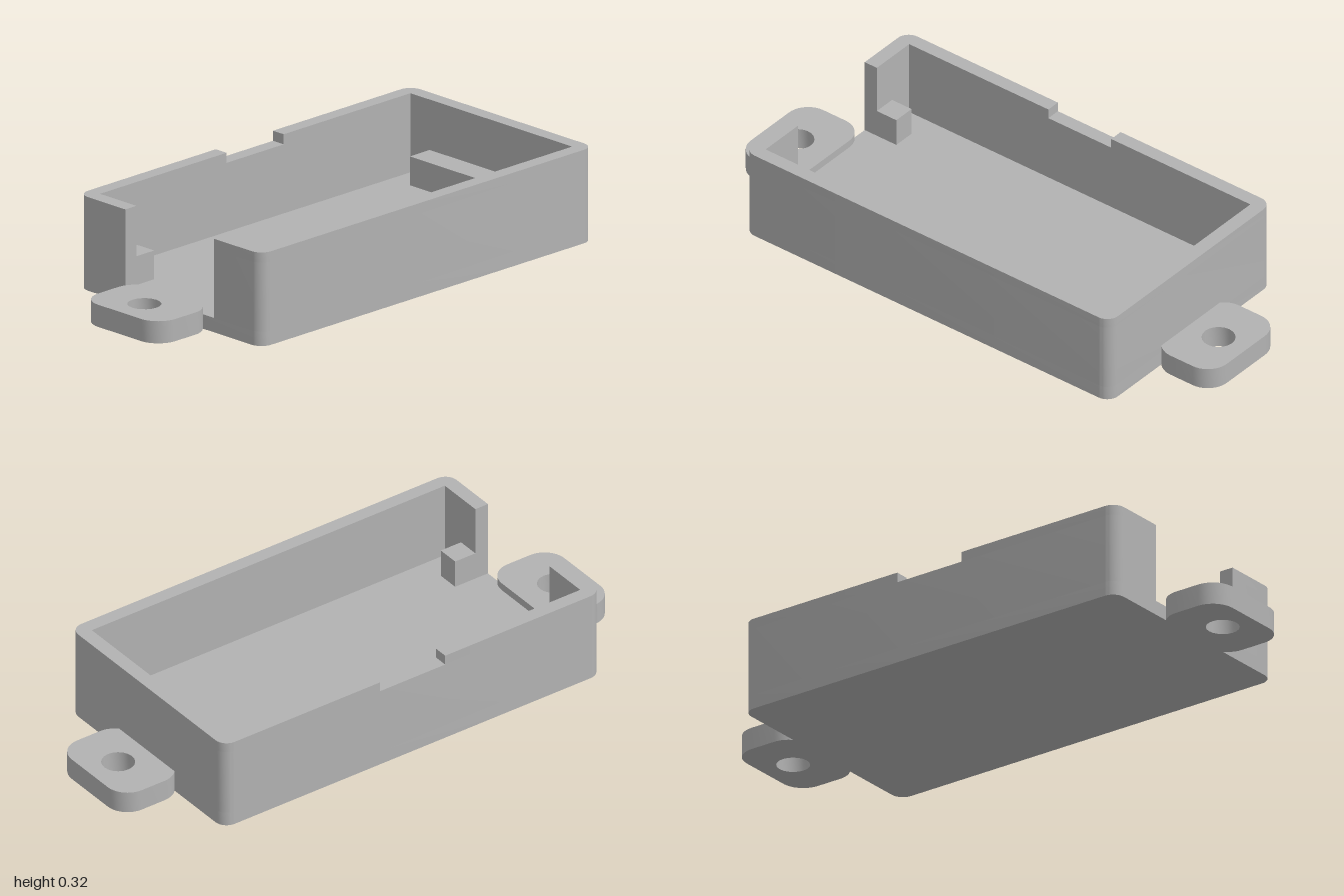
import * as THREE from 'three';
import { toCreasedNormals } from 'three/addons/utils/BufferGeometryUtils.js';

const X = 0.768, Z = 0.427;     // outer half size
const IX = 0.717, IZ = 0.377;   // inner half size
const R = 0.045;                // outer corner radius
const FLOOR = 0.05, TOP = 0.325, NOTCH_Y = 0.29;
const GAP = 0.207;              // half width of the end opening
const NOTCH = 0.132;            // half width of the back rim notch

// Closed shape from [x, y, radius] corners (right angles where rounded)
function cornerShape(points) {
  const shape = new THREE.Shape();
  const n = points.length;
  points.forEach(([x, y, r = 0], i) => {
    const toward = (q, d) => {
      const l = Math.hypot(q[0] - x, q[1] - y);
      return [x + (q[0] - x) / l * d, y + (q[1] - y) / l * d];
    };
    const prev = points[(i + n - 1) % n], next = points[(i + 1) % n];
    const a = toward(prev, r);
    if (i === 0) shape.moveTo(...a); else shape.lineTo(...a);
    if (r) {
      const k = r * 0.4477;
      shape.bezierCurveTo(...toward(prev, k), ...toward(next, k), ...toward(next, r));
    }
  });
  shape.closePath();
  return shape;
}

const rectangle = (x0, x1, halfZ, r) =>
  cornerShape([[x0, -halfZ, r], [x1, -halfZ, r], [x1, halfZ, r], [x0, halfZ, r]]);

export function createModel() {
  const group = new THREE.Group();
  const plastic = new THREE.MeshStandardMaterial({ color: 0xb2b2b2 });
  plastic.name = 'grey plastic';

  const add = (name, geometry) => {
    const mesh = new THREE.Mesh(geometry, plastic);
    mesh.name = name;
    group.add(mesh);
    return mesh;
  };
  // Plan shape (x, -z) raised from y0 to y1
  const slab = (name, shape, y0, y1) => {
    const g = new THREE.ExtrudeGeometry(shape, { depth: y1 - y0, bevelEnabled: false, curveSegments: 10 });
    g.rotateX(-Math.PI / 2);
    g.translate(0, y0, 0);
    return add(name, toCreasedNormals(g, 0.6));
  };
  const block = (name, x0, x1, z0, z1, y0, y1) =>
    add(name, new THREE.BoxGeometry(x1 - x0, y1 - y0, z1 - z0))
      .position.set((x0 + x1) / 2, (y0 + y1) / 2, (z0 + z1) / 2);

  // Floor plate
  slab('floor', rectangle(-X, X, Z, R), 0, FLOOR);

  // Walls, open at the -x end
  const frontAndEnd = [[X, Z, R], [X, -Z, R], [-X, -Z, R], [-X, -GAP],
    [-IX, -GAP], [-IX, -IZ], [IX, -IZ], [IX, IZ]];
  slab('walls', cornerShape([[-X, GAP], [-X, Z, R], ...frontAndEnd, [-IX, IZ], [-IX, GAP]]), FLOOR, NOTCH_Y);

  // Rim, interrupted by the back notch
  slab('rimLong', cornerShape([[NOTCH, Z], ...frontAndEnd, [NOTCH, IZ]]), NOTCH_Y, TOP);
  slab('rimShort', cornerShape([[-X, GAP], [-X, Z, R], [-NOTCH, Z], [-NOTCH, IZ], [-IX, IZ], [-IX, GAP]]), NOTCH_Y, TOP);

  // Inner supports
  block('supportBar', 0.625, IX, -0.287, 0.287, FLOOR, 0.15);
  block('supportPostBack', -IX, -0.635, -0.287, -GAP, FLOOR, 0.15);
  block('supportPostFront', -IX, -0.635, GAP, 0.287, FLOOR, 0.15);

  // Mounting tabs with screw holes
  for (const side of [-1, 1]) {
    const [x0, x1] = side < 0 ? [-1, -0.747] : [0.747, 1];
    const tab = rectangle(x0, x1, 0.18, 0.08);
    const hole = new THREE.Path();
    hole.absarc(side * 0.885, 0, 0.056, 0, Math.PI * 2, true);
    tab.holes.push(hole);
    slab(side < 0 ? 'mountingTabRight' : 'mountingTabLeft', tab, 0, 0.077);
  }
  return group;
}
